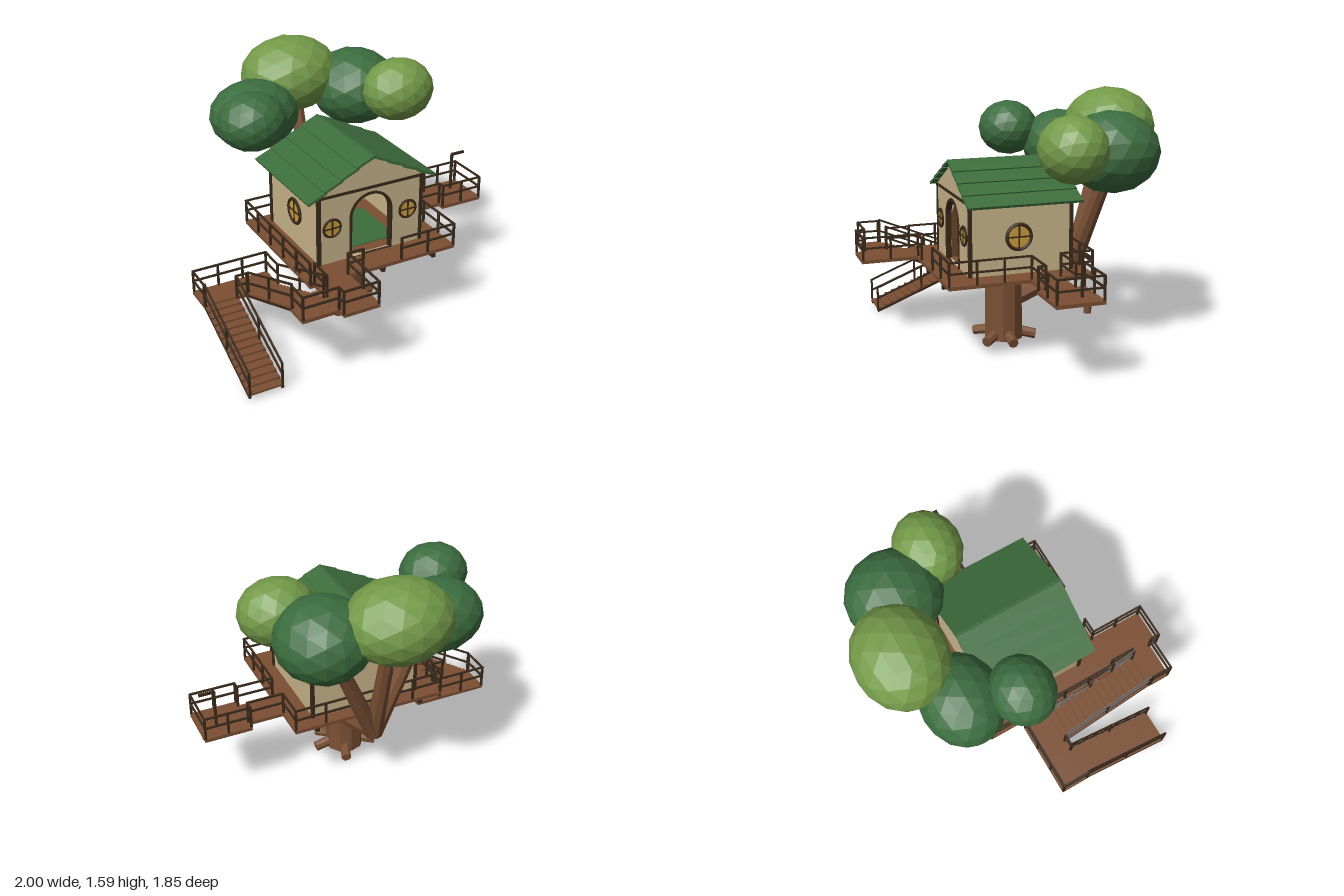
import * as THREE from 'three';

const mat = (name, color) => Object.assign(new THREE.MeshStandardMaterial({ color }), { name });

export function createModel() {
  const M = {
    bark: mat('bark', 0x7a5033), plank: mat('plank', 0x7b4f32), rail: mat('dark timber', 0x3a2a1b),
    wall: mat('cream wall', 0xc8b48a), roof: mat('roof green', 0x3d6d3c), door: mat('door wood', 0x6b4329),
    leafDark: mat('dark leaves', 0x3c6d3f), leafLight: mat('light leaves', 0x739a48), glass: mat('amber glass', 0xcc9c3a),
  };
  const model = new THREE.Group();
  const V = (x, y, z) => new THREE.Vector3(x, y, z);

  const add = (name, geo, m, parent = model) => {
    const mesh = new THREE.Mesh(geo, m);
    mesh.name = name;
    parent.add(mesh);
    return mesh;
  };
  const group = (name, parent = model) => {
    const g = new THREE.Group();
    g.name = name;
    parent.add(g);
    return g;
  };
  const flat = (geo) => {
    const g = geo.index ? geo.toNonIndexed() : geo;
    g.computeVertexNormals();
    return g;
  };
  // Box given by its minimum and maximum on each axis
  const block = (name, x0, x1, y0, y1, z0, z1, m, parent) => {
    const b = add(name, new THREE.BoxGeometry(x1 - x0, y1 - y0, z1 - z0), m, parent);
    b.position.set((x0 + x1) / 2, (y0 + y1) / 2, (z0 + z1) / 2);
    return b;
  };
  // Square bar between two points
  const bar = (name, a, b, t, m, parent) => {
    const mesh = add(name, new THREE.BoxGeometry(t, t, a.distanceTo(b) + t * 0.5), m, parent);
    mesh.position.copy(a).lerp(b, 0.5);
    mesh.lookAt(b);
    return mesh;
  };
  // Faceted tapered log between two points
  const log = (name, a, b, r0, r1, sides, parent) => {
    const mesh = add(name, flat(new THREE.CylinderGeometry(r1, r0, a.distanceTo(b), sides)), M.bark, parent);
    mesh.position.copy(a).lerp(b, 0.5);
    mesh.quaternion.setFromUnitVectors(V(0, 1, 0), b.clone().sub(a).normalize());
  };

  // Tree: trunk, roots, branches and leaf clumps
  const tree = group('tree');
  const cx = -0.024, cz = 0.07;
  log('trunk', V(cx, 0.02, cz), V(cx, 0.52, cz), 0.125, 0.12, 10, tree);
  [0, 50, 130, 205, 290].forEach((deg) => {
    const a = deg * Math.PI / 180, c = Math.cos(a), s = Math.sin(a);
    log('root', V(cx + c * 0.07, 0.065, cz + s * 0.07), V(cx + c * 0.205, 0.036, cz + s * 0.205), 0.034, 0.032, 8, tree);
  });
  const fork = V(-0.02, 0.425, -0.39);
  log('mainBranch', V(-0.02, 0.28, 0.0), fork, 0.068, 0.055, 8, tree);
  [[0.3, 1.12, -0.5], [-0.02, 1.2, -0.58], [-0.3, 1.1, -0.42]].forEach((p) =>
    log('branch', V(-0.02, 0.4, -0.38), V(...p), 0.056, 0.042, 8, tree));
  [
    [-0.03, 1.355, -0.645, 0.33, 0.245, 0.285, M.leafLight],
    [0.36, 1.25, -0.49, 0.29, 0.25, 0.3, M.leafDark],
    [-0.38, 1.205, -0.45, 0.29, 0.22, 0.25, M.leafDark],
    [-0.53, 1.3, -0.135, 0.215, 0.18, 0.195, M.leafDark],
    [0.51, 1.3, -0.18, 0.24, 0.203, 0.21, M.leafLight],
  ].forEach(([x, y, z, a, b, c, m]) => {
    const geo = new THREE.IcosahedronGeometry(1, 2).scale(a, b, c);
    add('leafClump', flat(geo), m, tree).position.set(x, y, z);
  });

  // Decks: main floor, stair landings, bridge and lookout
  const decks = group('decks'), Y = 0.535, LOW = 0.285;
  [
    ['mainDeck', -0.52, 0.48, -0.335, 0.57], ['frontLanding', -0.49, -0.26, 0.57, 0.925],
    ['stairLanding', -0.72, -0.49, 0.72, 0.87], ['bridge', 0.48, 0.7, -0.13, 0.065],
    ['lookout', 0.7, 1, -0.185, 0.11],
  ].forEach(([n, x0, x1, z0, z1]) => block(n, x0, x1, Y - 0.022, Y, z0, z1, M.plank, decks));
  block('lowerLanding', -1, -0.5, LOW - 0.02, LOW, -0.08, 0.11, M.plank, decks);
  [-0.375, -0.024, 0.332].forEach((x) => block('floorBeam', x - 0.012, x + 0.012, 0.484, 0.513, -0.33, 0.57, M.rail, decks));

  // Railings follow paths of x,z corners
  const rails = group('railings'), T = 0.011;
  const railing = (y, pts) => {
    for (let i = 0; i < pts.length - 1; i++) {
      const a = V(pts[i][0], y, pts[i][1]), b = V(pts[i + 1][0], y, pts[i + 1][1]);
      [0.075, 0.143].forEach((h) => bar('handrail', a.clone().setY(y + h), b.clone().setY(y + h), T, M.rail, rails));
      const n = Math.max(1, Math.round(a.distanceTo(b) / 0.19));
      for (let k = i ? 1 : 0; k <= n; k++) {
        const p = a.clone().lerp(b, k / n);
        bar('railPost', p, p.clone().setY(y + 0.143), T * 1.2, M.rail, rails);
      }
    }
  };
  railing(Y, [[0.1, 0.564], [0.474, 0.564], [0.474, 0.06], [0.705, 0.06], [0.705, 0.104], [0.993, 0.104], [0.993, -0.178],
    [0.705, -0.178], [0.705, -0.124], [0.474, -0.124], [0.474, -0.328], [-0.514, -0.328], [-0.514, 0.564]]);
  railing(Y, [[-0.49, 0.57], [-0.49, 0.72]]);
  railing(Y, [[-0.713, 0.73], [-0.713, 0.864], [-0.49, 0.864], [-0.49, 0.918], [-0.266, 0.918], [-0.266, 0.564], [-0.165, 0.564]]);
  railing(LOW, [[-0.506, 0.1], [-0.506, -0.073], [-0.993, -0.073], [-0.993, 0.104]]);
  railing(LOW, [[-0.785, 0.104], [-0.715, 0.104]]);

  // Two flights of open stairs
  const flight = (name, x0, x1, y0, z0, y1, z1) => {
    const g = group(name), n = 13;
    for (let i = 0; i < n; i++) {
      const t = (i + 0.5) / n, y = y0 + (y1 - y0) * t, z = z0 + (z1 - z0) * t;
      block('tread', x0, x1, y - 0.012, y, z - 0.029, z + 0.029, M.plank, g);
    }
    [x0 + 0.005, x1 - 0.005].forEach((x) => {
      const a = V(x, y0, z0), b = V(x, y1, z1);
      const up = (p, h) => p.clone().setY(p.y + h);
      bar('stringer', up(a, -0.016), up(b, -0.016), 0.015, M.rail, g);
      [0.075, 0.15].forEach((h) => bar('stairRail', up(a, h), up(b, h), T, M.rail, g));
      [0, 0.5, 1].forEach((t) => {
        const p = a.clone().lerp(b, t);
        bar('stairPost', up(p, -0.01), up(p, 0.15), T * 1.1, M.rail, g);
      });
    });
  };
  flight('upperStairs', -0.715, -0.505, LOW, 0.11, Y, 0.72);
  flight('lowerStairs', -0.995, -0.78, 0.04, 0.73, LOW, 0.11);

  // Hoist on the lookout
  const hoist = group('hoist');
  bar('hoistPost', V(0.895, Y, -0.085), V(0.895, 0.79, -0.085), 0.015, M.rail, hoist);
  bar('hoistArm', V(0.895, 0.79, -0.085), V(0.985, 0.79, -0.085), 0.015, M.rail, hoist);
  add('bucket', flat(new THREE.CylinderGeometry(0.023, 0.021, 0.045, 10)), M.plank, hoist).position.set(0.968, 0.49, -0.085);

  // House walls
  const house = group('house');
  const L = -0.37, R = 0.33, mid = -0.02, eave = 0.985, peak = 1.17, doorX = -0.02;
  const arch = (Kind, x, hw, y0, spring) => {
    const s = new Kind();
    s.moveTo(x - hw, y0);
    s.lineTo(x + hw, y0);
    s.lineTo(x + hw, spring);
    s.absarc(x, spring, hw, 0, Math.PI, false);
    s.lineTo(x - hw, y0);
    return s;
  };
  const gableWall = (name, z, hole) => {
    const s = new THREE.Shape([[L, Y], [R, Y], [R, eave], [mid, peak], [L, eave]].map((p) => new THREE.Vector2(...p)));
    if (hole) s.holes.push(hole);
    add(name, new THREE.ExtrudeGeometry(s, { depth: 0.025, bevelEnabled: false }), M.wall, house).position.z = z;
  };
  gableWall('frontWall', 0.375, arch(THREE.Path, doorX, 0.135, Y + 0.001, 0.8));
  gableWall('backWall', -0.25);
  block('leftSideWall', R - 0.025, R, Y, eave, -0.225, 0.375, M.wall, house);
  block('rightSideWall', L, L + 0.025, Y, eave, -0.225, 0.375, M.wall, house);
  [L, R].forEach((x) => [-0.245, 0.395].forEach((z) =>
    block('cornerPost', x - 0.011, x + 0.011, Y, eave, z - 0.011, z + 0.011, M.rail, house)));
  [-0.248, 0.398].forEach((z) => block('gableBeam', L, R, 0.968, 0.985, z - 0.008, z + 0.008, M.rail, house));
  block('rug', -0.16, 0.22, Y, Y + 0.006, -0.12, 0.3, M.roof, house);

  // Arched doorway and door standing open inside
  const frame = arch(THREE.Shape, doorX, 0.147, Y, 0.8);
  frame.holes.push(arch(THREE.Path, doorX, 0.131, Y + 0.001, 0.8));
  add('doorFrame', new THREE.ExtrudeGeometry(frame, { depth: 0.035, bevelEnabled: false }), M.rail, house).position.z = 0.372;
  const door = group('openDoor', house);
  door.position.set(-0.163, 0, 0.37);
  door.rotation.y = Math.PI / 2;
  add('doorLeaf', new THREE.ExtrudeGeometry(arch(THREE.Shape, 0.13, 0.128, Y + 0.007, 0.8), { depth: 0.018, bevelEnabled: false }), M.door, door);
  bar('doorHandle', V(0.22, 0.59, 0.046), V(0.22, 0.83, 0.046), 0.011, M.rail, door);
  [0.61, 0.7, 0.78].forEach((y) => bar('handleMount', V(0.22, y, 0.018), V(0.22, y, 0.046), 0.009, M.rail, door));

  // Round windows
  const windowAt = (x, y, z, r, turn) => {
    const g = group('roundWindow', house);
    g.position.set(x, y, z);
    g.rotation.y = turn;
    add('glass', new THREE.CylinderGeometry(r * 0.9, r * 0.9, 0.008, 24).rotateX(Math.PI / 2), M.glass, g).position.z = 0.003;
    add('windowRing', new THREE.TorusGeometry(r * 0.88, r * 0.13, 6, 24), M.rail, g).position.z = 0.005;
    [[r * 1.7, 0.009], [0.009, r * 1.7]].forEach(([w, h]) =>
      add('windowBar', new THREE.BoxGeometry(w, h, 0.008), M.rail, g).position.z = 0.008);
  };
  windowAt(-0.285, 0.77, 0.4, 0.064, 0);
  windowAt(0.235, 0.77, 0.4, 0.064, 0);
  windowAt(R, 0.763, 0.09, 0.087, Math.PI / 2);
  windowAt(L, 0.763, 0.09, 0.087, -Math.PI / 2);

  // Roof of overlapping boards
  const roof = group('roof', house);
  const slope = Math.atan2(0.215, 0.425), boards = 4, step = 0.425 / boards;
  [-1, 1].forEach((side) => {
    for (let i = 0; i < boards; i++) {
      const b = add('roofBoard', new THREE.BoxGeometry(step / Math.cos(slope) + 0.014, 0.016, 0.72), M.roof, roof);
      const d = (i + 0.5) * step;
      b.position.set(mid + side * d, 1.184 - d * Math.tan(slope), 0.07);
      b.rotation.z = -side * (slope - 0.06);
    }
  });
  return model;
}
